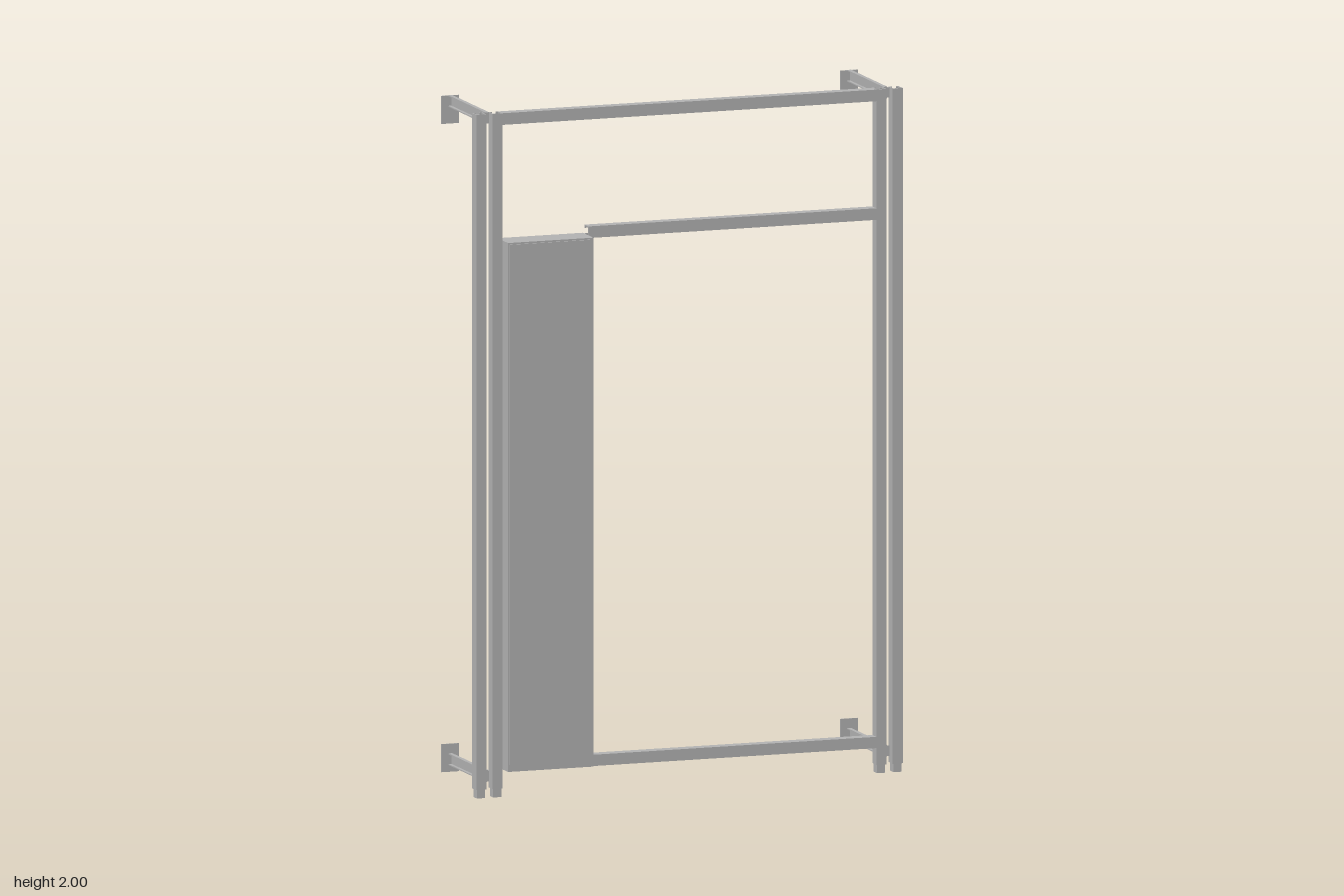
import * as THREE from 'three';

const steel = new THREE.MeshStandardMaterial({ color: 0xb4b4b4 });
steel.name = 'galvanised steel';

// Lipped channel: w across, h deep, open towards -y, extruded along z and centred
function channelGeometry(w, h, length, lip, t = 0.003) {
  const a = w / 2, b = h / 2;
  const points = [
    [-a, -b], [-a + lip, -b], [-a + lip, -b + t], [-a + t, -b + t],
    [-a + t, b - t], [a - t, b - t], [a - t, -b + t], [a - lip, -b + t],
    [a - lip, -b], [a, -b], [a, b], [-a, b],
  ].map(([x, y]) => new THREE.Vector2(x, y));
  const geometry = new THREE.ExtrudeGeometry(new THREE.Shape(points), { depth: length, bevelEnabled: false });
  return geometry.translate(0, 0, -length / 2);
}

export function createModel() {
  const group = new THREE.Group();
  group.name = 'doorFrame';

  function add(name, geometry, x, y, z) {
    const mesh = new THREE.Mesh(geometry, steel);
    mesh.name = name;
    mesh.position.set(x, y, z);
    group.add(mesh);
  }

  // Box given by its limits on each axis
  function box(name, x0, x1, y0, y1, z0, z1) {
    add(name, new THREE.BoxGeometry(x1 - x0, y1 - y0, z1 - z0),
      (x0 + x1) / 2, (y0 + y1) / 2, (z0 + z1) / 2);
  }

  // Horizontal rail, open at the back
  function rail(name, x0, x1, y0, y1) {
    const geometry = channelGeometry(y1 - y0, 0.034, x1 - x0, 0.009);
    geometry.rotateX(Math.PI / 2).rotateZ(Math.PI / 2);
    add(name, geometry, (x0 + x1) / 2, (y0 + y1) / 2, 0.128);
  }

  for (const side of [-1, 1]) {
    const label = side < 0 ? 'right' : 'left';

    // Paired upright channels on small feet
    for (const [part, x] of [['InnerPost', 0.589], ['OuterPost', 0.639]]) {
      const post = channelGeometry(0.031, 0.034, 1.975, 0.009).rotateX(Math.PI / 2);
      add(label + part, post, side * x, 1.0125, 0.128);
      add(label + part + 'Foot', new THREE.BoxGeometry(0.025, 0.03, 0.029), side * x, 0.015, 0.128);
    }

    // Wall brackets at the top and bottom: a channel arm and an end plate
    for (const [level, armY, plateY] of [['Top', 1.984, 1.959], ['Bottom', 0.059, 0.063]]) {
      const arm = channelGeometry(0.034, 0.012, 0.302, 0.003).rotateZ(-Math.PI / 2);
      add(label + level + 'Arm', arm, side * 0.612, armY, -0.037);
      add(label + level + 'WallPlate', new THREE.BoxGeometry(0.054, 0.082, 0.003),
        side * 0.612, plateY, -0.1885);
      // Connector joining the paired posts
      add(label + level + 'Connector', new THREE.BoxGeometry(0.02, 0.03, 0.004),
        side * 0.614, armY, 0.115);
    }
  }

  // Rails between the posts
  rail('topRail', -0.574, 0.574, 1.966, 2.0);
  rail('middleRail', -0.31, 0.574, 1.619, 1.653);
  rail('bottomRail', -0.31, 0.574, 0.074, 0.107);

  // Tall cabinet with a slightly raised front cover
  box('cabinet', -0.572, -0.31, 0.08, 1.627, 0.098, 0.186);
  box('cabinetCover', -0.567, -0.322, 0.1, 1.622, 0.185, 0.19);

  return group;
}
